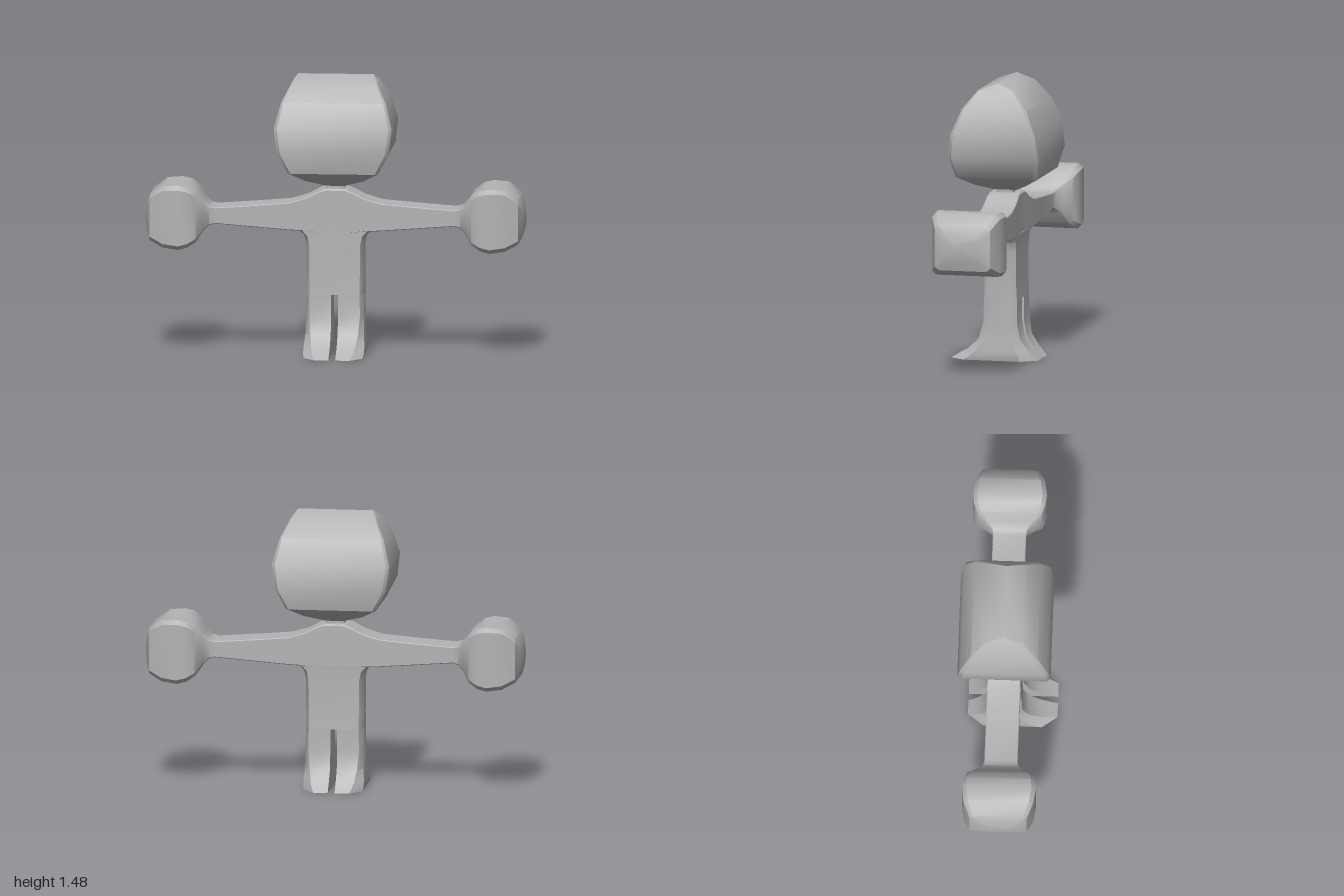
import * as THREE from 'three';
import { toCreasedNormals } from 'three/addons/utils/BufferGeometryUtils.js';

// Lofts chamfered rectangles along an axis.
// Section: [t, u0, u1, v0, v1, chamferU, chamferV]; axis 'y' uses u = z, v = x; axis 'x' uses u = y, v = z.
// side: 0 chamfers every corner, 1 only those at v1, -1 only those at v0.
function loft(axis, sections, side = 0, crease = 0.65) {
  const pos = [], index = [], n = 8;
  for (const [t, u0, u1, v0, v1, cu, cv] of sections) {
    const lo = side === 1 ? 0 : 1, hi = side === -1 ? 0 : 1;
    const ring = [
      [u1, v0 + cv * lo], [u1, v1 - cv * hi],
      [u1 - cu * hi, v1], [u0 + cu * hi, v1],
      [u0, v1 - cv * hi], [u0, v0 + cv * lo],
      [u0 + cu * lo, v0], [u1 - cu * lo, v0],
    ];
    for (const [u, v] of ring) pos.push(...(axis === 'y' ? [v, t, u] : [t, u, v]));
  }
  const last = (sections.length - 1) * n;
  for (let i = 0; i < last; i += n) {
    for (let j = 0; j < n; j++) {
      const k = (j + 1) % n;
      index.push(i + j, i + k, i + n + k, i + j, i + n + k, i + n + j);
    }
  }
  // end caps
  for (let j = 1; j < n - 1; j++) {
    index.push(0, j + 1, j, last, last + j, last + j + 1);
  }
  const g = new THREE.BufferGeometry();
  g.setAttribute('position', new THREE.Float32BufferAttribute(pos, 3));
  g.setIndex(index);
  return toCreasedNormals(g, crease);
}

export function createModel() {
  const group = new THREE.Group();
  const grey = new THREE.MeshStandardMaterial({ color: 0xb4b4b4 });
  grey.name = 'plain grey';
  const add = (name, geometry) => {
    const mesh = new THREE.Mesh(geometry, grey);
    mesh.name = name;
    group.add(mesh);
  };

  // Egg-shaped in profile, barrel-shaped from the front: [y, halfWidth, zBack, zFront, chamfer]
  const headRows = [
    [0.895, 0.05, -0.075, 0.045, 0.005],
    [0.93, 0.155, -0.15, 0.12, 0.01],
    [0.98, 0.238, -0.235, 0.205, 0.016],
    [1.09, 0.295, -0.26, 0.23, 0.018],
    [1.22, 0.31, -0.242, 0.214, 0.016],
    [1.35, 0.275, -0.188, 0.16, 0.012],
    [1.445, 0.225, -0.112, 0.085, 0.008],
    [1.48, 0.2, -0.024, -0.016, 0.002],
  ];
  add('head', loft('y', headRows.map(([y, w, b, f, c]) => [y, b, f, -w, w, c, c])));
  add('neck', loft('y', [
    [0.86, -0.06, 0.03, -0.05, 0.05, 0.01, 0.01],
    [0.9, -0.06, 0.03, -0.05, 0.05, 0.01, 0.01],
  ]));

  // Shoulders, arm and fist from the middle outwards: [x, yBottom, yTop, zBack, zFront, chamfer]
  const armRows = [
    [0.05, 0.64, 0.88, -0.1, 0.068, 0.008],
    [0.09, 0.645, 0.865, -0.102, 0.07, 0.006],
    [0.15, 0.655, 0.833, -0.104, 0.07, 0.005],
    [0.24, 0.66, 0.806, -0.105, 0.07, 0.004],
    [0.4, 0.672, 0.792, -0.105, 0.07, 0.004],
    [0.63, 0.69, 0.775, -0.105, 0.07, 0.004],
    [0.66, 0.682, 0.783, -0.112, 0.077, 0.006],
    [0.69, 0.655, 0.81, -0.145, 0.105, 0.012],
    [0.725, 0.6, 0.86, -0.19, 0.148, 0.02],
    [0.77, 0.572, 0.89, -0.21, 0.166, 0.022],
    [0.82, 0.56, 0.9, -0.215, 0.172, 0.022],
    [0.9, 0.57, 0.895, -0.205, 0.16, 0.022],
    [0.97, 0.605, 0.845, -0.172, 0.128, 0.02],
    [0.99, 0.66, 0.79, -0.12, 0.08, 0.02],
    [1, 0.7, 0.755, -0.05, 0.02, 0.01],
  ];
  const section = (s) => ([x, b, t, zb, zf, c]) => [s * x, b, t, zb, zf, c, c];
  add('armsAndFists', loft('x', [
    ...armRows.map(section(-1)).reverse(),
    ...armRows.map(section(1)),
  ]));

  // Torso with small fillets under the arms: [y, halfWidth, zBack, zFront]
  const torsoRows = [
    [0.32, 0.15, -0.104, 0.074],
    [0.4, 0.15, -0.1, 0.07],
    [0.58, 0.151, -0.1, 0.07],
    [0.63, 0.162, -0.101, 0.069],
    [0.665, 0.195, -0.103, 0.069],
  ];
  add('torso', loft('y', torsoRows.map(([y, w, b, f]) => [y, b, f, -w, w, 0.03, 0.018])));

  // Legs flaring into feet, split by a narrow gap: [y, outerX, zBack, zFront, chamferZ, chamferX]
  const legRows = [
    [0, 0.155, -0.21, 0.26, 0.08, 0.06],
    [0.02, 0.16, -0.19, 0.22, 0.07, 0.055],
    [0.05, 0.16, -0.162, 0.17, 0.055, 0.045],
    [0.11, 0.155, -0.12, 0.107, 0.04, 0.03],
    [0.2, 0.153, -0.104, 0.077, 0.032, 0.02],
    [0.32, 0.15, -0.104, 0.074, 0.03, 0.018],
  ];
  for (const [name, s] of [['leftLeg', 1], ['rightLeg', -1]]) {
    add(name, loft('y', legRows.map(([y, x, b, f, cz, cx]) =>
      [y, b, f, s > 0 ? 0.018 : -x, s > 0 ? x : -0.018, cz, cx]), s));
  }
  return group;
}
